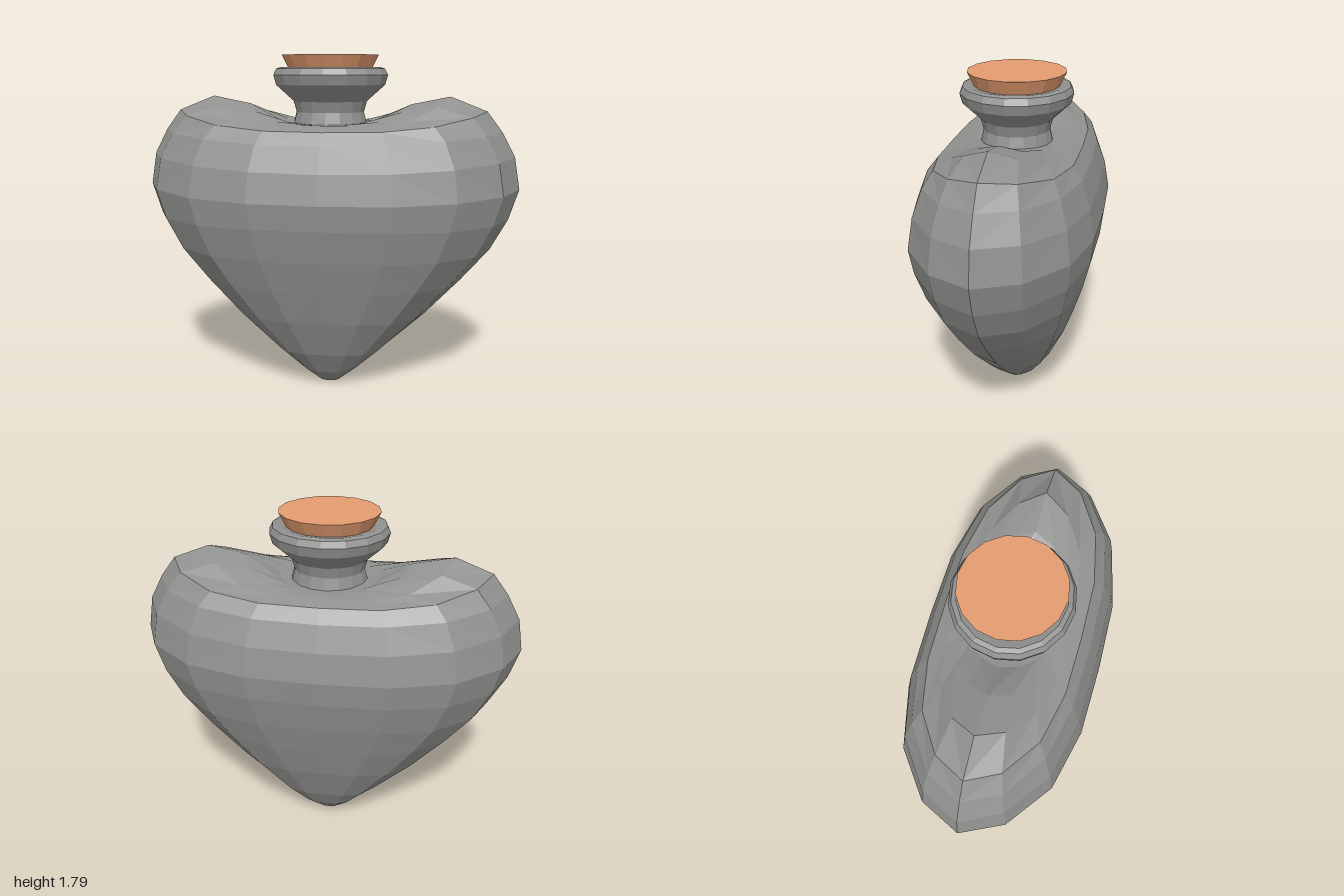
import * as THREE from 'three';

const SIDES = 16;

// Quarter of the flattened oval outline: [x fraction, z fraction]
const QUARTER = [[1, 0], [0.9, 0.45], [0.67, 0.82], [0.36, 0.98], [0, 1]];

// Body rings from foot to neck:
// [half width, half depth, y at the ends, y at the middle, sharpness of the rise to the ends]
const RINGS = [
  [0.06, 0.05, 0, 0, 2],
  [0.165, 0.13, 0.085, 0.08, 2],
  [0.3, 0.21, 0.2, 0.21, 2],
  [0.52, 0.3, 0.4, 0.42, 2],
  [0.71, 0.36, 0.6, 0.6, 2],
  [0.86, 0.41, 0.775, 0.77, 2],
  [0.95, 0.45, 0.94, 0.94, 2],
  [1, 0.465, 1.1, 1.07, 2],
  [0.97, 0.437, 1.27, 1.22, 2],
  [0.9, 0.39, 1.4, 1.35, 2],
  [0.82, 0.34, 1.505, 1.415, 3],
  [0.63, 0.275, 1.58, 1.435, 4],
  [0.43, 0.235, 1.54, 1.44, 4],
  [0.26, 0.2, 1.455, 1.44, 2],
  [0.185, 0.175, 1.445, 1.44, 2],
];

// Point j of the oval outline, mirrored from the quarter
function outline(j) {
  const quad = Math.floor(j / 4), k = j % 4;
  const [x, z] = QUARTER[quad % 2 ? 4 - k : k];
  return [quad === 1 || quad === 2 ? -x : x, quad >= 2 ? -z : z];
}

// Heart-shaped body: oval rings whose ends rise into two shoulders
function bodyGeometry() {
  const pos = [], index = [];
  for (const [w, d, yEnd, yMid, sharpness] of RINGS) {
    for (let j = 0; j < SIDES; j++) {
      const [fx, fz] = outline(j);
      pos.push(w * fx, yMid + (yEnd - yMid) * Math.abs(fx) ** sharpness, d * fz);
    }
  }
  for (let i = 0; i < RINGS.length - 1; i++) {
    for (let j = 0; j < SIDES; j++) {
      const a = i * SIDES + j, b = i * SIDES + (j + 1) % SIDES;
      const c = a + SIDES, d = b + SIDES;
      // Diagonals mirrored between neighbouring quarters
      if (Math.floor(j / 4) % 2) index.push(a, c, b, b, c, d);
      else index.push(a, d, b, a, c, d);
    }
  }
  // Flat foot
  for (let j = 1; j < SIDES - 1; j++) index.push(0, j, j + 1);
  const geo = new THREE.BufferGeometry();
  geo.setAttribute('position', new THREE.Float32BufferAttribute(pos, 3));
  geo.setIndex(index);
  geo.computeVertexNormals();
  return geo;
}

function lathe(points) {
  return new THREE.LatheGeometry(points.map(([r, y]) => new THREE.Vector2(r, y)), SIDES);
}

export function createModel() {
  const group = new THREE.Group();
  const glass = new THREE.MeshStandardMaterial({ color: 0x91918f, flatShading: true, side: THREE.DoubleSide });
  const corkMaterial = new THREE.MeshStandardMaterial({ color: 0xe49c6f, flatShading: true });

  const add = (name, geometry, material) => {
    const mesh = new THREE.Mesh(geometry, material);
    mesh.name = name;
    group.add(mesh);
    return mesh;
  };

  add('body', bodyGeometry(), glass);

  // Neck with a flared lip that turns inward around the stopper
  const neck = add('neck', lathe([
    [0.2, 1.42], [0.18, 1.5], [0.195, 1.555], [0.29, 1.64],
    [0.304, 1.69], [0.288, 1.722], [0.265, 1.73], [0.21, 1.72], [0.18, 1.64],
  ]), glass);
  neck.scale.z = 0.95;

  // Tapered stopper
  const cork = add('cork', new THREE.CylinderGeometry(0.255, 0.18, 0.15, SIDES), corkMaterial);
  cork.position.y = 1.717;
  cork.scale.z = 0.98;

  return group;
}
